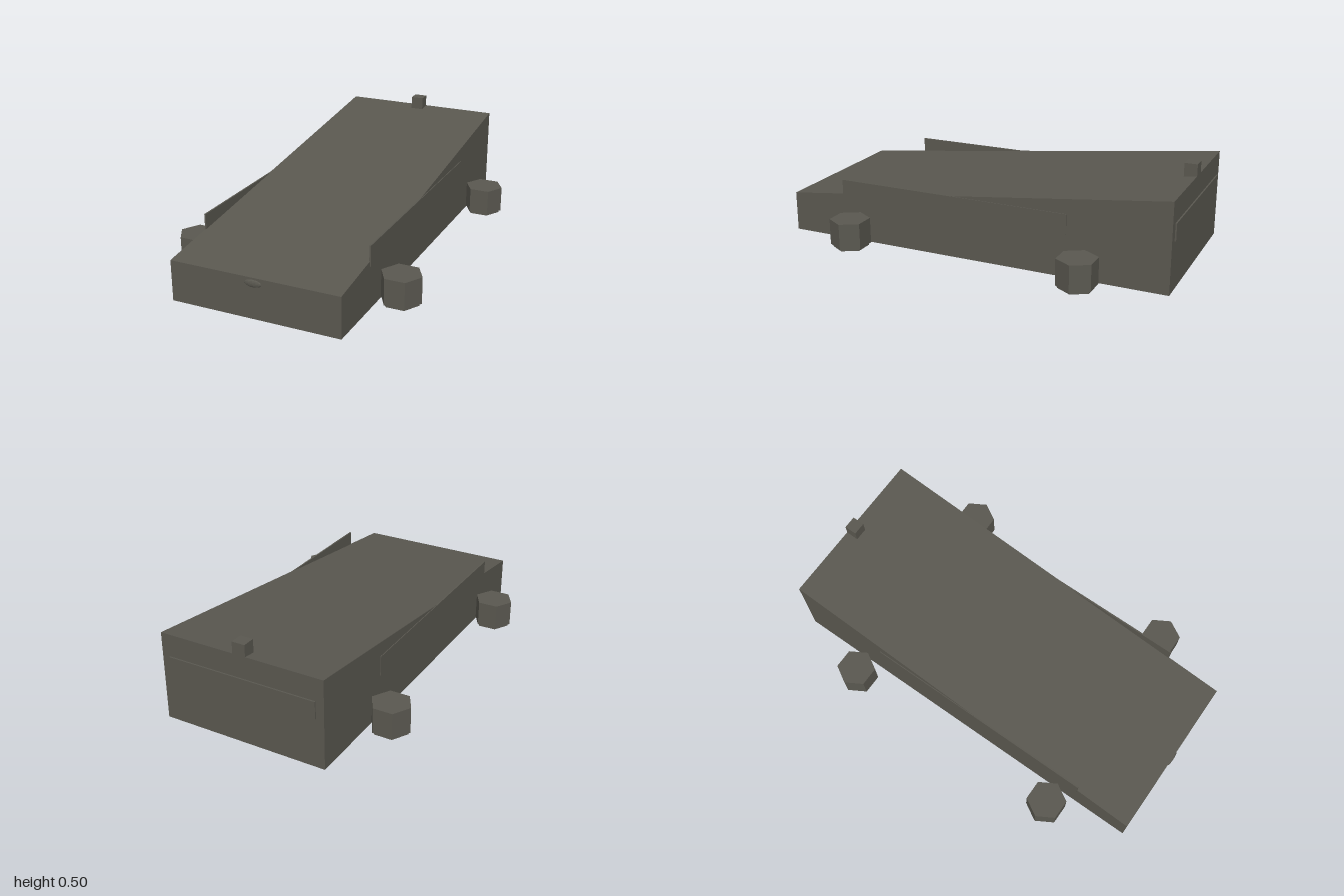
import * as THREE from 'three';

export function createModel() {
  const model = new THREE.Group();
  const paint = new THREE.MeshStandardMaterial({ color: 0x5a5850, flatShading: true });

  const add = (name, geometry, x, y, z) => {
    const mesh = new THREE.Mesh(geometry, paint);
    mesh.name = name;
    mesh.position.set(x, y, z);
    model.add(mesh);
    return mesh;
  };
  const box = (name, w, h, d, x, y, z) => add(name, new THREE.BoxGeometry(w, h, d), x, y, z);

  // Wedge body: side profile drawn with the front on the left, extruded across the width
  const width = 0.84, end = 0.993;
  const profile = new THREE.Shape([
    new THREE.Vector2(-end, 0), new THREE.Vector2(end, 0),
    new THREE.Vector2(end, 0.442), new THREE.Vector2(-end, 0.2),
  ]);
  const body = new THREE.ExtrudeGeometry(profile, { depth: width, bevelEnabled: false });
  body.translate(0, 0, -width / 2).rotateY(Math.PI / 2);
  add('body', body, 0, 0, 0);

  // Six-sided wheel on an upright axis, with a raised rim underneath
  const wheelProfile = [
    [0, 0.03], [0.055, 0.03], [0.07, 0.013], [0.088, 0.013], [0.088, 0.025],
    [0.0985, 0.025], [0.0985, 0.155], [0, 0.155],
  ].map(([r, y]) => new THREE.Vector2(r, y));
  const wheel = new THREE.LatheGeometry(wheelProfile, 6, Math.PI / 2);

  for (const side of [-1, 1]) {
    const label = side > 0 ? 'left' : 'right';
    // Thin upright side panel standing proud of the sloping top
    box(label + 'SidePanel', 0.008, 0.1, 1.2, side * 0.42, 0.26, 0.1);
    add(label + 'FrontWheel', wheel, side * 0.529, 0, 0.597);
    add(label + 'RearWheel', wheel, side * 0.529, 0, -0.597);
  }

  // Rear panel and small block on the tail
  box('rearPanel', 0.76, 0.085, 0.014, 0, 0.288, -0.993);
  box('tailBlock', 0.066, 0.066, 0.063, 0, 0.467, -0.9615);

  // Shallow rounded badge on the nose
  const badge = add('noseBadge', new THREE.SphereGeometry(1, 12, 8), 0, 0.173, end);
  badge.scale.set(0.042, 0.018, 0.007);

  return model;
}
